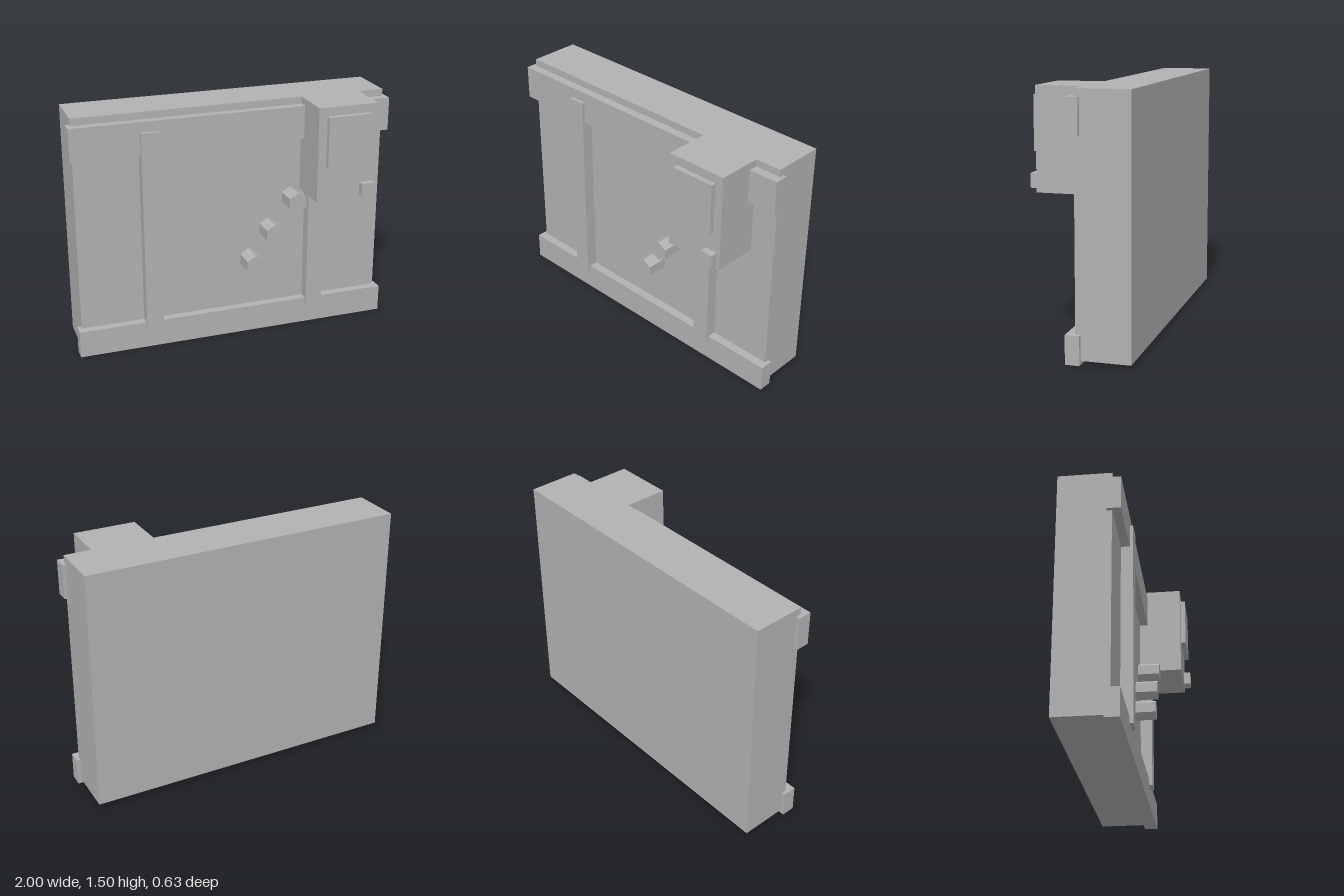
import * as THREE from 'three';

export function createModel() {
  const model = new THREE.Group();
  const grey = new THREE.MeshStandardMaterial({ color: 0xb2b2b2 });
  grey.name = 'plain grey';

  // Adds a box given its extents along each axis
  function addBox(name, [x0, x1], [y0, y1], [z0, z1]) {
    const mesh = new THREE.Mesh(new THREE.BoxGeometry(x1 - x0, y1 - y0, z1 - z0), grey);
    mesh.position.set((x0 + x1) / 2, (y0 + y1) / 2, (z0 + z1) / 2);
    mesh.name = name;
    model.add(mesh);
  }

  // Main slab
  addBox('body', [-0.977, 0.977], [0.022, 1.497], [-0.315, 0]);

  // Horizontal rails wrapping slightly past the sides
  addBox('lowerRail', [-1, 1], [0, 0.168], [-0.03, 0.053]);
  addBox('upperRail', [-1, 1], [1.247, 1.453], [-0.03, 0.053]);

  // Vertical straps over the rails
  addBox('rightStrap', [-0.584, -0.477], [0.13, 1.39], [0, 0.073]);
  addBox('leftStrap', [0.47, 0.577], [0.13, 0.93], [0, 0.073]);

  // Control box with its screen and button
  addBox('controlBox', [0.438, 0.817], [0.908, 1.497], [-0.01, 0.272]);
  addBox('screen', [0.491, 0.765], [1.13, 1.443], [0.26, 0.303]);
  addBox('button', [0.715, 0.796], [0.929, 1.011], [0.26, 0.315]);

  // Diagonal row of hexagonal knobs
  const depth = 0.136;
  for (const [x, y] of [[0.102, 0.486], [0.229, 0.676], [0.375, 0.865]]) {
    const geometry = new THREE.CylinderGeometry(0.063, 0.063, depth, 6).toNonIndexed();
    geometry.rotateX(Math.PI / 2);
    geometry.computeVertexNormals();
    const knob = new THREE.Mesh(geometry, grey);
    knob.position.set(x, y, depth / 2);
    knob.name = 'hexKnob';
    model.add(knob);
  }

  return model;
}
